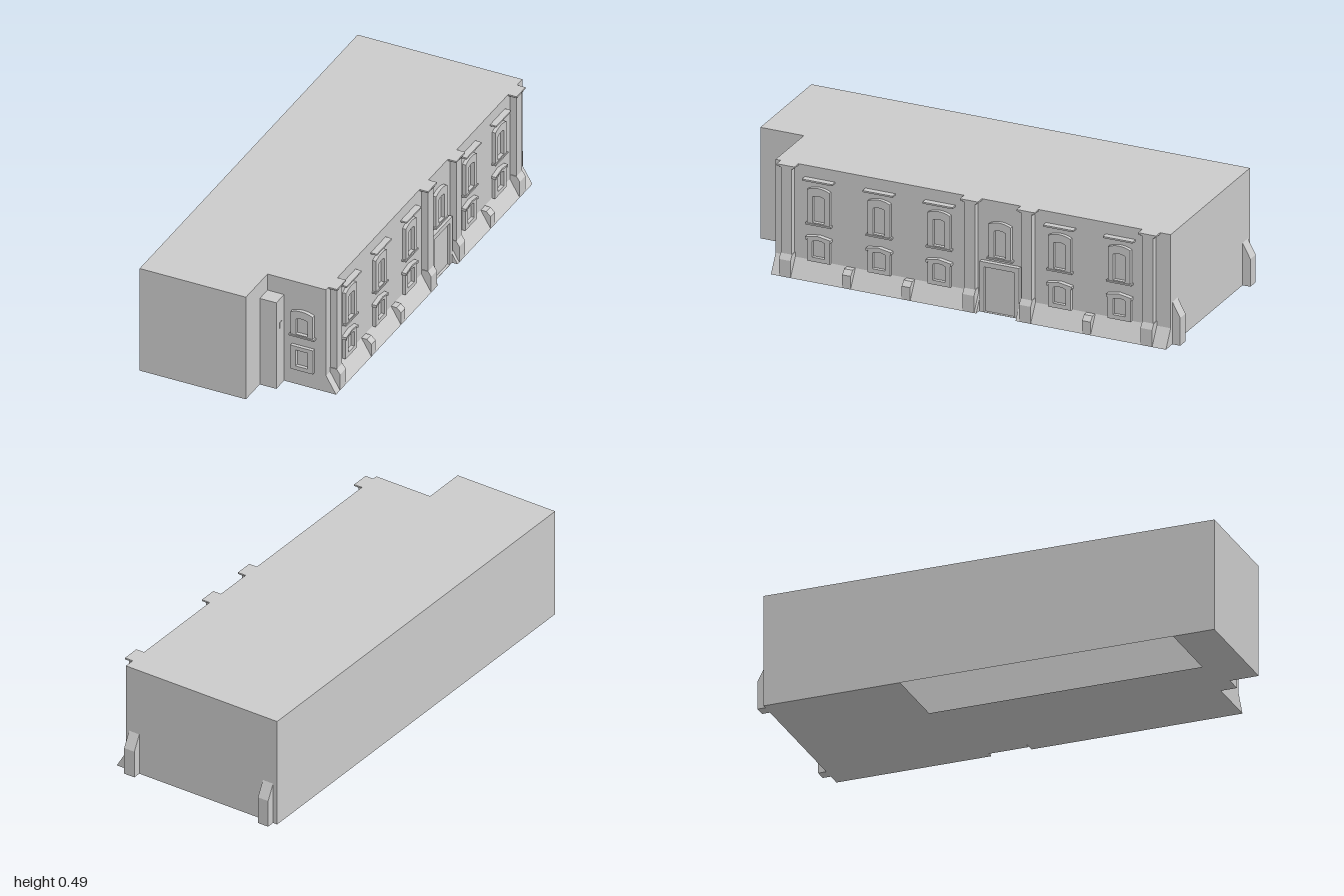
import * as THREE from 'three';

const material = new THREE.MeshStandardMaterial({ color: 0xcccccc, flatShading: true, side: THREE.DoubleSide });
const H = 0.49, WALL = 0.35, FRONT = 0.805, BACK = -0.965, LEFT = -0.396;

function add(parent, name, geometry, x = 0, y = 0, z = 0) {
  const mesh = new THREE.Mesh(geometry, material);
  mesh.name = name;
  mesh.position.set(x, y, z);
  parent.add(mesh);
  return mesh;
}

const toShape = (points) => new THREE.Shape(points.map(([x, y]) => new THREE.Vector2(x, y)));

// Box given by its limits
function block(parent, name, x0, x1, y0, y1, z0, z1) {
  return add(parent, name, new THREE.BoxGeometry(x1 - x0, y1 - y0, z1 - z0),
    (x0 + x1) / 2, (y0 + y1) / 2, (z0 + z1) / 2);
}

// Side profile in x, y swept from z0 to z1
function prism(parent, name, points, z0, z1) {
  const g = new THREE.ExtrudeGeometry(toShape(points), { depth: z1 - z0, bevelEnabled: false });
  return add(parent, name, g, 0, 0, z0);
}

// Opening outline with a shallow arched head of the given rise
function archPath(Type, w, y0, y1, rise) {
  const p = new Type();
  p.moveTo(-w / 2, y0);
  p.lineTo(w / 2, y0);
  p.lineTo(w / 2, y1 - rise);
  if (rise > 0) p.quadraticCurveTo(w * 0.25, y1, 0, y1).quadraticCurveTo(-w * 0.25, y1, -w / 2, y1 - rise);
  else p.lineTo(-w / 2, y1);
  p.closePath();
  return p;
}

function surround(outer, inner, depth) {
  const s = archPath(THREE.Shape, ...outer);
  s.holes.push(archPath(THREE.Path, ...inner));
  return new THREE.ExtrudeGeometry(s, { depth, bevelEnabled: false, curveSegments: 4 });
}

// Upper window: arched frame on a sill, optional drip ledge above
function upperWindow(top, ledge) {
  const g = new THREE.Group();
  g.name = 'upperWindow';
  add(g, 'frame', surround([0.1, 0.243, top, 0.012], [0.052, 0.25, top - 0.035, 0.006], 0.016));
  block(g, 'sill', -0.057, 0.057, 0.238, 0.245, 0, 0.02);
  if (ledge) block(g, 'dripLedge', -0.067, 0.067, 0.432, 0.439, 0, 0.028);
  return g;
}

// Lower window: frame, with a wider arched hood on the long side
function lowerWindow(hood) {
  const g = new THREE.Group();
  g.name = 'lowerWindow';
  const rise = hood ? 0.012 : 0;
  add(g, 'frame', surround([0.102, 0.077, 0.19, rise], [0.055, 0.096, 0.172, rise / 2], 0.015));
  if (hood) {
    const band = toShape([[-0.056, 0.172], [-0.05, 0.172], [-0.045, 0.179], [0, 0.186], [0.045, 0.179],
      [0.05, 0.172], [0.056, 0.172], [0.056, 0.184], [0, 0.194], [-0.056, 0.184]]);
    add(g, 'hood', new THREE.ExtrudeGeometry(band, { depth: 0.02, bevelEnabled: false }));
  }
  return g;
}

// Hollow shell: walls, roof, and a floor left open along one side
function buildShell(parent) {
  const outline = [[LEFT, BACK], [WALL, BACK], [WALL, FRONT], [0.085, FRONT], [0.085, 1], [LEFT, 1]];
  const walls = new THREE.Group();
  walls.name = 'walls';
  outline.forEach(([x0, z0], i) => {
    const [x1, z1] = outline[(i + 1) % outline.length];
    const g = new THREE.PlaneGeometry(Math.hypot(x1 - x0, z1 - z0), H);
    const wall = add(walls, 'wall', g, (x0 + x1) / 2, H / 2, (z0 + z1) / 2);
    wall.rotation.y = Math.atan2(z1 - z0, -(x1 - x0));
  });
  // turn every wall to face outwards
  walls.children.forEach((w, i) => {
    w.rotation.y = [Math.PI, Math.PI / 2, 0, Math.PI / 2, 0, -Math.PI / 2][i];
  });
  parent.add(walls);
  const flat = (pts) => new THREE.ShapeGeometry(toShape(pts.map(([x, z]) => [x, -z])));
  add(parent, 'roof', flat(outline).rotateX(-Math.PI / 2), 0, H, 0);
  const floorLine = [...outline, [LEFT, 0.82], [-0.08, 0.82], [-0.08, -0.37], [LEFT, -0.37]];
  const floor = flat(floorLine).rotateX(-Math.PI / 2);
  const idx = floor.index.array;
  for (let i = 0; i < idx.length; i += 3) [idx[i], idx[i + 1]] = [idx[i + 1], idx[i]];
  floor.computeVertexNormals();
  add(parent, 'floor', floor);
}

export function createModel() {
  const model = new THREE.Group();
  model.name = 'building';
  buildShell(model);

  // Chimney block in the corner, with a small box on its side
  block(model, 'cornerBlock', 0.085, 0.16, 0, 0.413, FRONT, 0.875);
  block(model, 'meterBox', 0.159, 0.162, 0.272, 0.302, 0.83, 0.845);

  // Sloping plinth, broken by the door
  for (const [z0, z1] of [[-0.115, FRONT], [BACK, -0.291]])
    prism(model, 'plinth', [[WALL, 0], [0.395, 0], [WALL, 0.077]], z0, z1);

  // Pilasters with pedestal, shaft and stepped cap
  for (const z of [0.743, -0.079, -0.333, -0.877]) {
    const p = new THREE.Group();
    p.name = 'pilaster';
    prism(p, 'pedestal', [[WALL, 0], [0.395, 0], [0.395, 0.075], [0.38, 0.097], [WALL, 0.097]], z - 0.026, z + 0.026);
    block(p, 'shaft', WALL, 0.38, 0.09, 0.478, z - 0.023, z + 0.023);
    block(p, 'capNeck', WALL, 0.384, 0.476, 0.483, z - 0.031, z + 0.031);
    block(p, 'cap', WALL, 0.388, 0.483, H, z - 0.04, z + 0.04);
    model.add(p);
  }

  // Small buttresses between the bays
  for (const z of [0.467, 0.2, -0.608])
    prism(model, 'buttress', [[WALL, 0], [0.395, 0], [0.395, 0.058], [0.375, 0.077], [WALL, 0.077]], z - 0.019, z + 0.019);

  // Windows of the long side; the fourth bay holds the door
  [0.607, 0.336, 0.067, -0.206, -0.473, -0.741].forEach((z, i) => {
    const doorBay = i === 3;
    const bay = new THREE.Group();
    bay.name = 'bay';
    bay.add(upperWindow(0.404, !doorBay));
    if (doorBay) {
      add(bay, 'doorFrame', surround([0.176, 0, 0.222, 0], [0.134, 0.001, 0.2, 0], 0.02));
      block(bay, 'door', -0.067, 0.067, 0, 0.2, 0, 0.008);
    } else bay.add(lowerWindow(true));
    bay.position.set(WALL, 0, z);
    bay.rotation.y = Math.PI / 2;
    model.add(bay);
  });

  // Windows of the short front wall
  const frontUpper = upperWindow(0.363, false);
  const frontLower = lowerWindow(false);
  for (const w of [frontUpper, frontLower]) {
    w.position.set(0.247, 0, FRONT);
    model.add(w);
  }

  // Sloped buttresses on the back wall
  for (const x of [-0.351, 0.309]) {
    const b = prism(model, 'backButtress', [[0, 0], [0.035, 0], [0.035, 0.122], [0, 0.187]], -0.025, 0.025);
    b.geometry.translate(0, 0, -0.025);
    b.position.set(x, 0, BACK);
    b.rotation.y = Math.PI / 2;
    b.geometry.rotateY(0);
  }
  return model;
}
